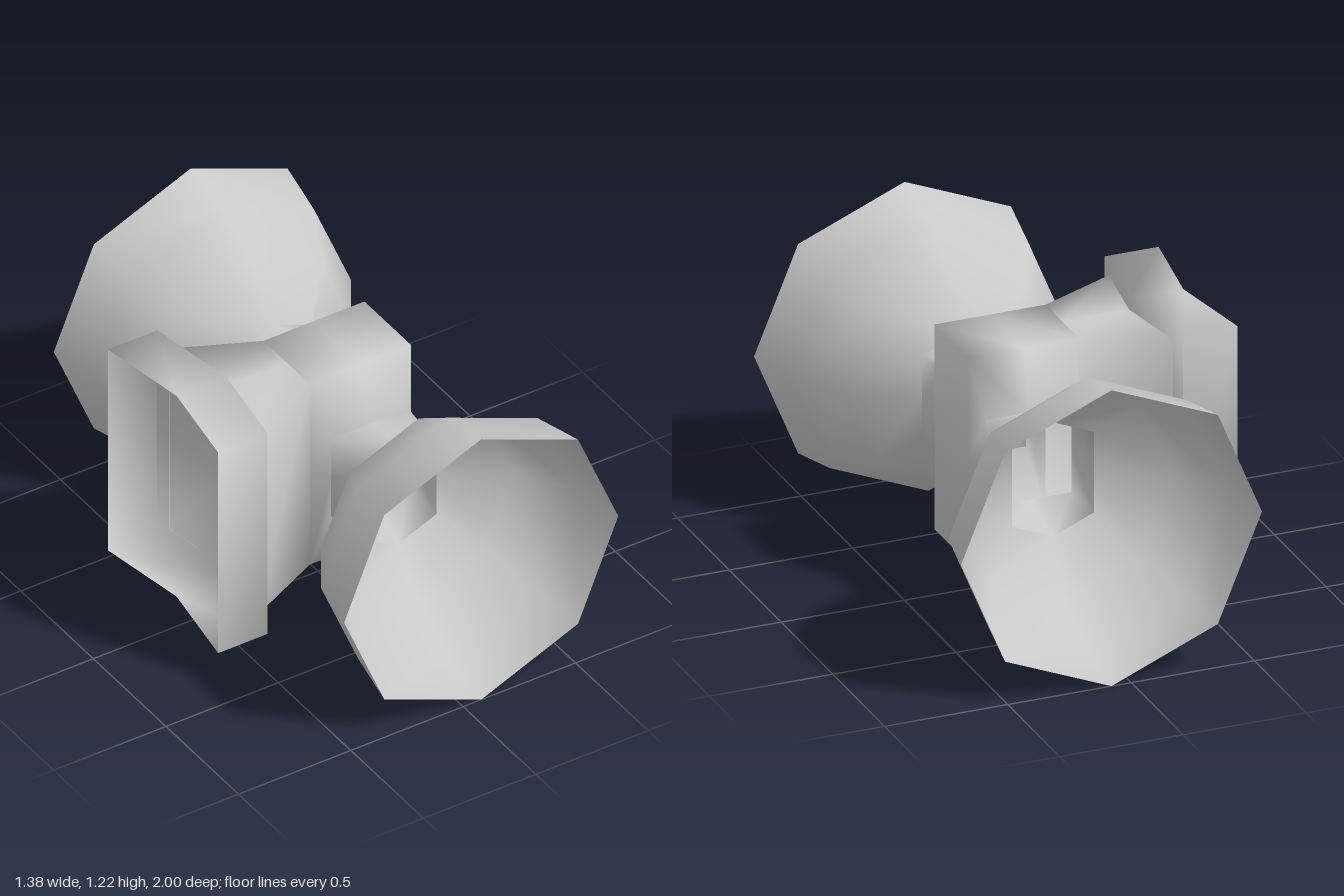
import * as THREE from 'three';
import { mergeGeometries, mergeVertices } from 'three/addons/utils/BufferGeometryUtils.js';

const CX = 0.08, CY = 0.61;

// Skin a series of closed rings with equal point counts; skip(i, j) leaves a panel open.
function loft(rings, skip = () => false) {
  const n = rings[0].length, index = [];
  for (let i = 0; i < rings.length - 1; i++) {
    for (let j = 0; j < n; j++) {
      if (skip(i, j)) continue;
      const k = (j + 1) % n, a = i * n, b = a + n;
      index.push(a + j, b + j, b + k, a + j, b + k, a + k);
    }
  }
  const g = new THREE.BufferGeometry();
  g.setAttribute('position', new THREE.Float32BufferAttribute(rings.flat(2), 3));
  g.setIndex(index);
  return g;
}

// Octagon around the long axis, optionally with its side corners pulled in.
function octagon(r, z, flatSides = false) {
  return Array.from({ length: 8 }, (_, j) => {
    const a = j * Math.PI / 4;
    const rx = flatSides && j % 4 === 0 ? r * Math.SQRT1_2 : r;
    return [CX + rx * Math.cos(a), CY + r * Math.sin(a), z];
  });
}

// Eight-point rectangle, in the same order as the octagon.
function rect(x0, x1, y0, y1, z) {
  const xm = (x0 + x1) / 2, ym = (y0 + y1) / 2;
  return [[x1, ym, z], [x1, y1, z], [xm, y1, z], [x0, y1, z],
    [x0, ym, z], [x0, y0, z], [xm, y0, z], [x1, y0, z]];
}

// Six-point upright ring, bent at z = 0 by moving its middle along x.
function chevron(x, xMid, h, y0, y1) {
  return [[x, y1, -h], [xMid, y1, 0], [x, y1, h], [x, y0, h], [xMid, y0, 0], [x, y0, -h]];
}

export function createModel() {
  const model = new THREE.Group();
  const material = new THREE.MeshStandardMaterial({ color: 0xcccccc, side: THREE.DoubleSide });
  const add = (name, geometry) => {
    geometry.computeVertexNormals();
    const mesh = new THREE.Mesh(geometry, material);
    mesh.name = name;
    model.add(mesh);
  };
  const opening = z => rect(-0.085, 0.26, 0.435, 0.795, z);

  // Open octagonal bowls and the necks joining them to the body
  for (const s of [1, -1]) {
    const bowl = [octagon(0.61, s), octagon(0.565, 0.77 * s),
      octagon(0.435, 0.57 * s), octagon(0.235, 0.435 * s, true)];
    const neck = [octagon(0.235, 0.435 * s, true), opening(0.22 * s)];
    if (s < 0) { bowl.reverse(); neck.reverse(); }
    const side = s > 0 ? 'front' : 'back';
    add(side + 'Bowl', loft(bowl));
    add(side + 'Neck', loft(neck));
  }

  // Hollow body, open toward the arm, which flares out to the side panel
  const block = z => rect(-0.14, 0.31, 0.19, 1.035, z);
  const body = loft([opening(0.22), block(0.16), block(-0.16), opening(-0.22)],
    (i, j) => i === 1 && (j === 3 || j === 4));
  const arm = loft([chevron(-0.14, -0.14, 0.16, 0.19, 1.035),
    chevron(-0.46, -0.41, 0.31, 0.19, 1.035)]);
  add('bodyAndArm', mergeVertices(mergeGeometries([body, arm])));

  // Bent side panel: closed inner wall, open outer side
  add('sidePanel', mergeVertices(loft([
    chevron(-0.47, -0.41, 0.38, CY, CY),
    chevron(-0.47, -0.41, 0.38, 0.14, 1.08),
    chevron(-0.69, -0.63, 0.38, 0.14, 1.08),
  ])));

  return model;
}
